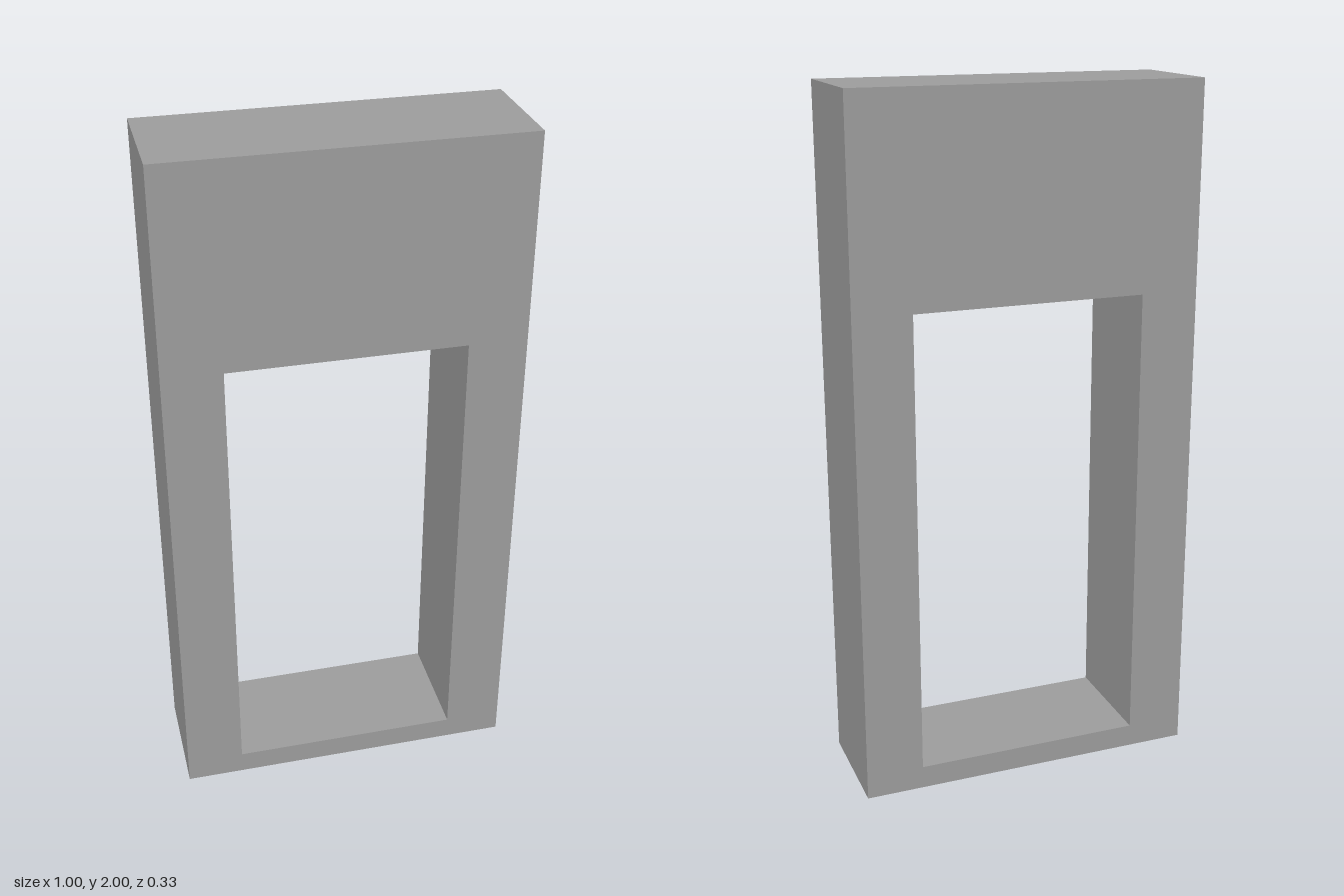
import * as THREE from 'three';

// Rectangle outline as a list of corners, counter-clockwise
const rect = (x0, y0, x1, y1) => [
  new THREE.Vector2(x0, y0),
  new THREE.Vector2(x1, y0),
  new THREE.Vector2(x1, y1),
  new THREE.Vector2(x0, y1),
];

export function createModel() {
  const group = new THREE.Group();
  group.name = 'doorwayWall';

  const depth = 0.333;

  // Wall slab with a doorway opening above a low sill
  const outline = new THREE.Shape(rect(-0.5, 0, 0.5, 2));
  outline.holes.push(new THREE.Path(rect(-0.333, 0.067, 0.333, 1.418).reverse()));

  const geometry = new THREE.ExtrudeGeometry(outline, { depth, bevelEnabled: false });
  geometry.translate(0, 0, -depth / 2);

  const frame = new THREE.Mesh(
    geometry,
    new THREE.MeshStandardMaterial({ color: 0x9d9d9d, flatShading: true })
  );
  frame.name = 'doorFrame';
  group.add(frame);

  return group;
}
